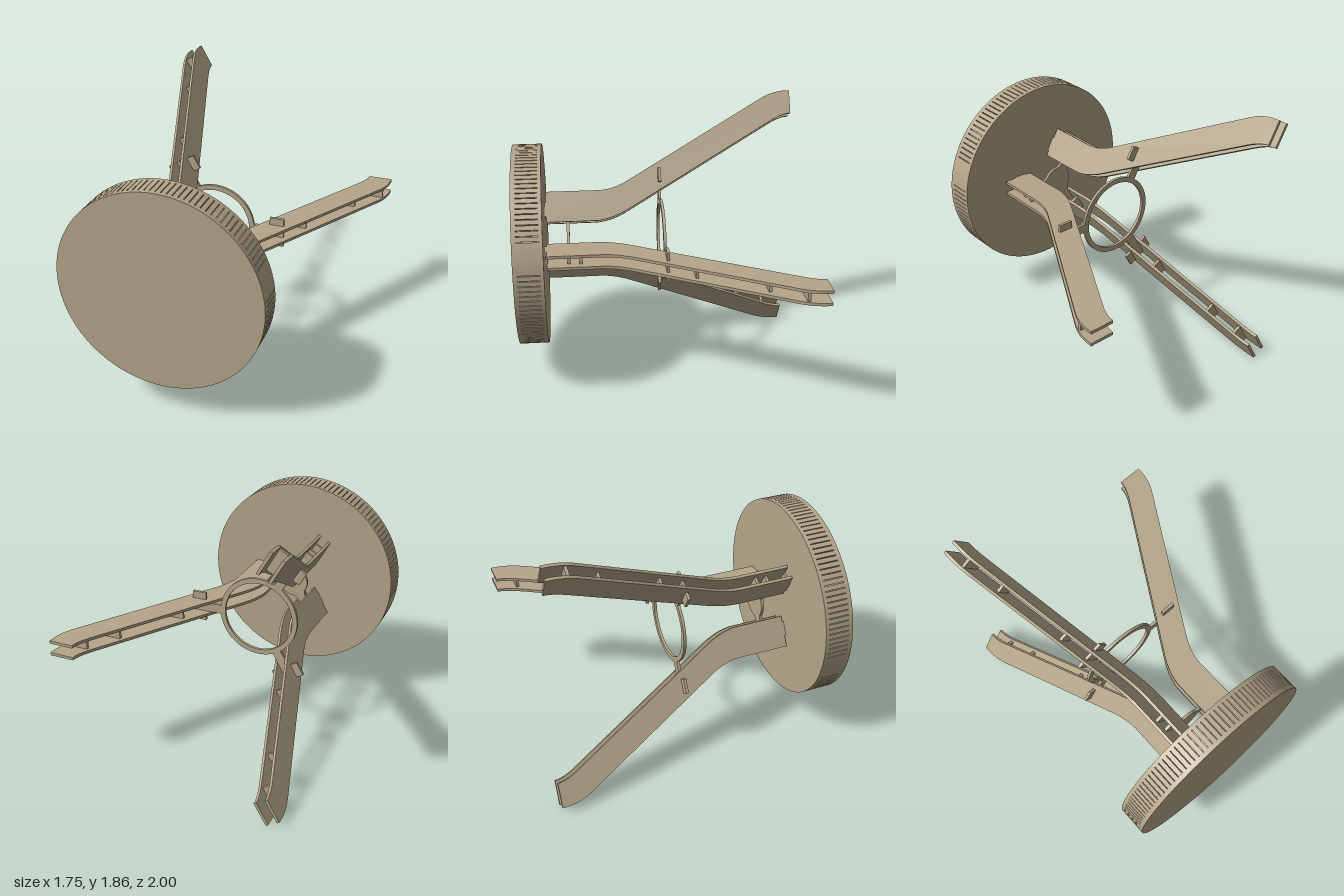
import * as THREE from 'three';

const material = new THREE.MeshStandardMaterial({ color: 0xb5a58a });
const CENTRE = [-0.176, 0.936];
const PLATE_IN = 0.033, PLATE_OUT = 0.053; // leg plate faces, measured from the leg's mid plane
const SLOT_STEP = 3;
const TAU = Math.PI * 2, DEG = Math.PI / 180;

function add(parent, name, geometry) {
  const mesh = new THREE.Mesh(geometry, material);
  mesh.name = name;
  parent.add(mesh);
  return mesh;
}

// Box from its limits
function box(parent, name, x0, x1, y0, y1, z0, z1) {
  const g = new THREE.BoxGeometry(x1 - x0, y1 - y0, z1 - z0);
  g.translate((x0 + x1) / 2, (y0 + y1) / 2, (z0 + z1) / 2);
  return add(parent, name, g);
}

// Flat sheet cut to a shape, lying between two z planes
function sheet(parent, name, shape, z0, z1, curveSegments = 12) {
  const g = new THREE.ExtrudeGeometry(shape, { depth: z1 - z0, bevelEnabled: false, curveSegments });
  g.translate(0, 0, z0);
  return add(parent, name, g);
}

// Round slab between two z planes
function slab(parent, name, radius, z0, z1) {
  const g = new THREE.CylinderGeometry(radius, radius, z1 - z0, 120);
  g.rotateX(Math.PI / 2);
  g.translate(0, 0, (z0 + z1) / 2);
  return add(parent, name, g);
}

// Rim outline with narrow saw cuts, leaving a plain stretch at the two joints
function slottedOutline(radius, depth, halfWidth) {
  const pts = [];
  const polar = (a, r) => pts.push(new THREE.Vector2(Math.cos(a) * r, Math.sin(a) * r));
  for (let d = 0; d < 360; d += SLOT_STEP) {
    const a = d * DEG;
    const fromJoint = Math.abs((((d - 15) % 180) + 270) % 180 - 90);
    if (fromJoint < 9) {
      polar(a, radius);
      continue;
    }
    const w = halfWidth / radius;
    polar(a - w, radius);
    polar(a - w, radius - depth);
    polar(a + w, radius - depth);
    polar(a + w, radius);
  }
  return new THREE.Shape(pts);
}

// Side outline of a leg: x is the distance from the axis, y is depth along z
function legOutline() {
  const s = new THREE.Shape();
  s.moveTo(0.14, 0.79);
  s.lineTo(0.14, 0.45);
  s.quadraticCurveTo(0.14, 0.336, 0.219, 0.2);
  s.lineTo(0.825, -0.85);
  s.quadraticCurveTo(0.877, -0.94, 0.877, -1);
  s.lineTo(1.046, -1);
  s.lineTo(1.046, -0.98);
  s.quadraticCurveTo(1.046, -0.877, 0.989, -0.78);
  s.lineTo(0.424, 0.2);
  s.quadraticCurveTo(0.357, 0.315, 0.357, 0.42);
  s.lineTo(0.357, 0.79);
  s.closePath();
  return s;
}

// Round brace outline with three arms; each arm is a list of [radius, half width]
function bracedOutline(radius, arm, fillet) {
  const s = new THREE.Shape();
  const half = Math.asin(arm[0][1] / radius) + fillet;
  for (let k = 0; k < 3; k++) {
    const a = k * TAU / 3;
    const at = (r, t) => [r * Math.cos(a) - t * Math.sin(a), r * Math.sin(a) + t * Math.cos(a)];
    const side = [...arm.map(([r, t]) => [r, -t]), ...arm.slice().reverse()];
    const root = radius * Math.cos(Math.asin(arm[0][1] / radius));
    if (k === 0) s.moveTo(...at(radius * Math.cos(half), -radius * Math.sin(half)));
    side.forEach(([r, t], i) => {
      if (i === 0 && fillet) s.quadraticCurveTo(...at(root, t), ...at(r, t));
      else s.lineTo(...at(r, t));
    });
    const [x, y] = at(radius * Math.cos(half), radius * Math.sin(half));
    if (fillet) s.quadraticCurveTo(...at(root, arm[0][1]), x, y);
    s.absarc(0, 0, radius, a + half, a + TAU / 3 - half, false);
  }
  return s;
}

function buildLeg() {
  const leg = new THREE.Group();
  leg.name = 'leg';

  // Pair of parallel plates
  for (const [name, top] of [['legPlateUpper', PLATE_OUT], ['legPlateLower', -PLATE_IN]]) {
    const g = new THREE.ExtrudeGeometry(legOutline(), {
      depth: PLATE_OUT - PLATE_IN, bevelEnabled: false, curveSegments: 12,
    });
    g.rotateX(Math.PI / 2);
    g.translate(0, top, 0);
    add(leg, name, g);
  }

  // Spacers joining the plates: inner radius, outer radius, z
  const spacers = [[0.19, 0.31, 0.56], [0.49, 0.61, -0.2], [0.735, 0.855, -0.64], [0.855, 1.015, -0.855]];
  for (const [r0, r1, z] of spacers) {
    box(leg, 'legSpacer', r0, r1, -PLATE_IN, PLATE_IN, z - 0.01, z + 0.01);
  }

  // Tongue that meets the top
  box(leg, 'legTongue', 0.18, 0.28, -PLATE_OUT, PLATE_OUT, 0.785, 0.8);
  return leg;
}

export function createModel() {
  const model = new THREE.Group();
  model.name = 'threeLeggedTable';
  model.position.set(...CENTRE, 0);

  // Round top with a saw-cut rim
  const top = new THREE.Group();
  top.name = 'tableTop';
  slab(top, 'topFace', 0.699, 0.97, 1);
  sheet(top, 'slottedRim', slottedOutline(0.699, 0.02, 0.003), 0.825, 0.97);
  slab(top, 'topUnderside', 0.699, 0.8, 0.825);
  model.add(top);

  // Three legs around the axis
  for (let k = 0; k < 3; k++) {
    const leg = buildLeg();
    leg.rotation.z = k * TAU / 3;
    model.add(leg);
  }

  // Ring brace, its T-shaped arms passing through the leg plates
  const ring = bracedOutline(0.285, [[0.31, 0.032], [0.4, 0.032], [0.4, 0.105], [0.5, 0.105]], 0);
  ring.holes.push(new THREE.Path().absarc(0, 0, 0.25, 0, TAU, true));
  sheet(model, 'ringBrace', ring, -0.03, -0.01, 32);

  // Small hub brace near the top
  const hub = bracedOutline(0.11, [[0.17, 0.032], [0.3, 0.032]], 0.3);
  sheet(model, 'hubBrace', hub, 0.63, 0.65, 16);

  const root = new THREE.Group();
  root.name = 'model';
  root.add(model);
  return root;
}
